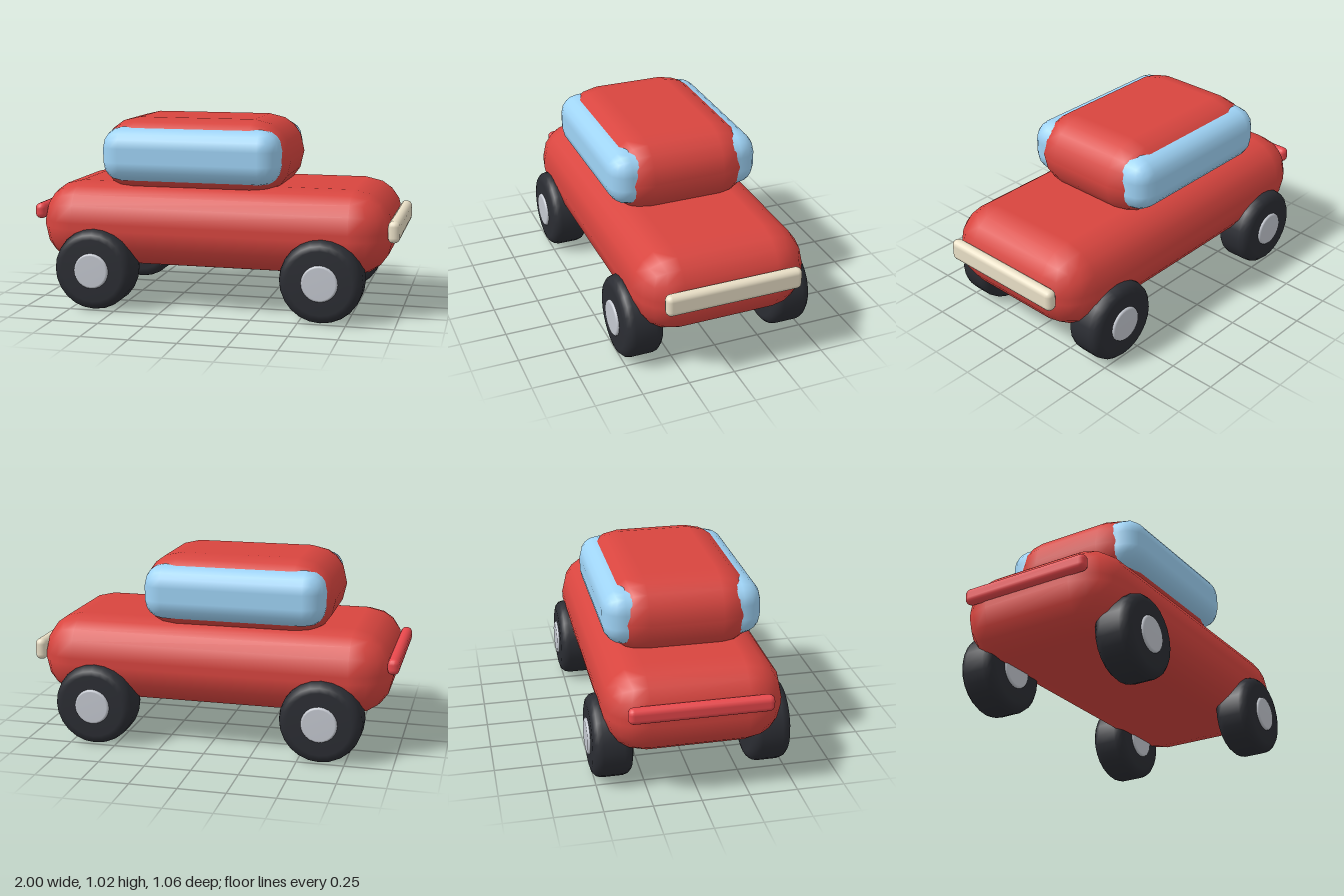
import * as THREE from 'three';
import { RoundedBoxGeometry } from 'three/addons/geometries/RoundedBoxGeometry.js';

const paint = (color) => new THREE.MeshStandardMaterial({ color });
const red = paint(0xd8453f), glass = paint(0x9fd4f7), cream = paint(0xe9dfc6);
const tailRed = paint(0xe8484c), rubber = paint(0x2b2d33), metal = paint(0xc4c8d0);

// Soft box given by its extents along x and y and its half width in z
function softBox(name, [x0, x1], [y0, y1], halfZ, radius, material) {
  const grow = 0.076 * radius; // the coarse rounding falls slightly short of the full size
  const geometry = new RoundedBoxGeometry(x1 - x0 + grow, y1 - y0 + grow, 2 * halfZ + grow, 2, radius);
  const mesh = new THREE.Mesh(geometry, material);
  mesh.name = name;
  mesh.position.set((x0 + x1) / 2, (y0 + y1) / 2, 0);
  return mesh;
}

// Solid disc with rounded rims, axis along z
function roundedDisc(name, radius, halfWidth, bevel, material) {
  const profile = [new THREE.Vector2(0, -halfWidth)];
  for (const side of [-1, 1]) {
    for (let i = 0; i <= 3; i++) {
      const a = (side < 0 ? i - 3 : i) * Math.PI / 6;
      profile.push(new THREE.Vector2(
        radius - bevel + bevel * Math.cos(a),
        side * (halfWidth - bevel) + bevel * Math.sin(a)));
    }
  }
  profile.push(new THREE.Vector2(0, halfWidth));
  const mesh = new THREE.Mesh(new THREE.LatheGeometry(profile, 24), material);
  mesh.rotation.x = Math.PI / 2;
  mesh.name = name;
  return mesh;
}

export function createModel() {
  const car = new THREE.Group();
  car.name = 'toyCar';

  // Body, cabin and the glass that stands out of the cabin sides
  car.add(softBox('body', [-0.955, 0.95], [0.225, 0.665], 0.455, 0.21, red));
  car.add(softBox('cabin', [-0.635, 0.395], [0.62, 1.015], 0.385, 0.2, red));
  car.add(softBox('sideWindows', [-0.605, 0.367], [0.685, 0.973], 0.41, 0.11, glass));

  // Light bars at both ends
  car.add(softBox('headlightBar', [0.94, 1], [0.415, 0.53], 0.367, 0.03, cream));
  car.add(softBox('tailLightBar', [-1, -0.94], [0.463, 0.547], 0.367, 0.03, tailRed));

  // Wheels
  for (const x of [-0.618, 0.615]) {
    for (const side of [-1, 1]) {
      const wheel = new THREE.Group();
      wheel.name = `${x > 0 ? 'front' : 'rear'}Wheel${side > 0 ? 'Right' : 'Left'}`;
      wheel.add(roundedDisc('tire', 0.219, 0.104, 0.05, rubber));
      wheel.add(roundedDisc('hub', 0.096, 0.117, 0.012, metal));
      wheel.position.set(x, 0.22, side * 0.413);
      car.add(wheel);
    }
  }
  return car;
}
